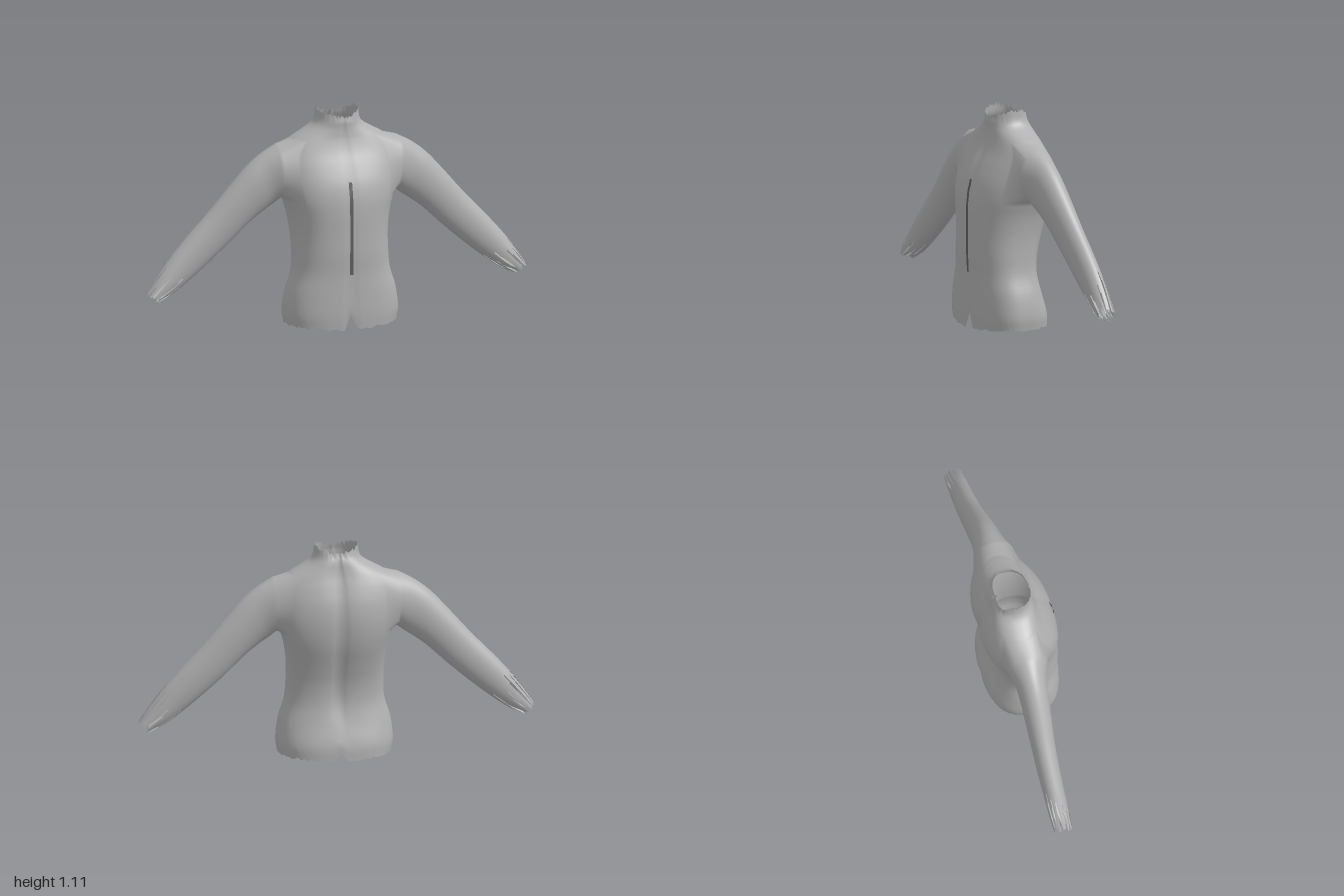
import * as THREE from 'three';

const N = 96, SUB = 4, J = 11;          // torso columns, rows per key section, half width of armhole
const I0 = 7 * SUB, I1 = 11 * SUB;      // armhole rows
const STEPS = 40;                       // rings along a sleeve

// torso sections: height, half width, front z, back z
const SECTIONS = [
  [0.035, 0.285, 0.190, -0.180], [0.10, 0.293, 0.195, -0.175], [0.20, 0.280, 0.195, -0.145],
  [0.30, 0.250, 0.195, -0.125], [0.40, 0.243, 0.200, -0.128], [0.50, 0.245, 0.200, -0.152],
  [0.60, 0.260, 0.200, -0.182], [0.68, 0.285, 0.195, -0.197], [0.76, 0.305, 0.178, -0.202],
  [0.84, 0.315, 0.145, -0.193], [0.91, 0.300, 0.110, -0.172], [0.965, 0.250, 0.090, -0.152],
  [1.00, 0.190, 0.083, -0.142], [1.03, 0.140, 0.080, -0.135], [1.06, 0.115, 0.080, -0.125],
  [1.10, 0.108, 0.075, -0.115],
];
// sleeve sections: top x, y, bottom x, y, front z, back z
const SLEEVE = [
  [0.315, 0.952, 0.305, 0.675, 0.080, -0.125], [0.40, 0.905, 0.345, 0.645, 0.055, -0.108],
  [0.48, 0.842, 0.39, 0.615, 0.045, -0.102], [0.57, 0.745, 0.46, 0.562, 0.035, -0.100],
  [0.68, 0.620, 0.57, 0.460, 0.022, -0.098], [0.79, 0.505, 0.68, 0.365, 0.016, -0.096],
  [0.88, 0.405, 0.78, 0.285, 0.014, -0.092], [0.95, 0.315, 0.87, 0.222, 0.014, -0.088],
  [1.00, 0.240, 0.945, 0.190, 0.012, -0.082],
];

const curve = (points) => new THREE.CatmullRomCurve3(points.map((p) => new THREE.Vector3(...p)), false, 'catmullrom', 0.5);
const smooth = THREE.MathUtils.smoothstep;

function seeded(seed) {
  return () => {
    seed = (seed * 16807) % 2147483647;
    return seed / 2147483647;
  };
}

export function createModel() {
  const group = new THREE.Group();
  group.name = 'jacket';
  const fabric = new THREE.MeshStandardMaterial({ color: 0xb0b0b0, side: THREE.DoubleSide });
  fabric.name = 'grey fabric';
  const dark = new THREE.MeshStandardMaterial({ color: 0x606060, side: THREE.DoubleSide });
  dark.name = 'dark fastening';

  const rand = seeded(77);
  const positions = [];
  const parts = { torso: [], collar: [], leftSleeve: [], rightSleeve: [] };
  const quad = (list, a, b, c, d, flip) => {
    if (flip) list.push(a, c, b, a, d, c);
    else list.push(a, b, c, a, c, d);
  };

  // torso grid, with ragged hem and neck edge
  const rows = (SECTIONS.length - 1) * SUB;
  const heights = curve(SECTIONS.map((s) => [s[0], 0, 0]));
  const shape = curve(SECTIONS.map((s) => s.slice(1)));
  const hem = [], neck = [];
  for (let j = 0; j < N; j++) {
    const s = Math.sin((j / N) * Math.PI * 2);
    hem.push((rand() - 0.5) * 0.014 - 0.015 * Math.abs(s) ** 6);
    neck.push((rand() - 0.5) * 0.02 + 0.012 - 0.03 * s * s);
  }
  hem[N / 4] = 0.06;
  hem[(3 * N) / 4] = 0.03;
  for (let i = 0; i <= rows; i++) {
    const y0 = heights.getPoint(i / rows).x;
    const { x: w, y: zf, z: zb } = shape.getPoint(i / rows);
    const zc = 0.03 - 0.06 * smooth(y0, 0.2, 0.7);
    const power = 2 / (2.6 - 0.4 * smooth(y0, 0.6, 0.9));
    for (let j = 0; j < N; j++) {
      const a = (j / N) * Math.PI * 2, c = Math.cos(a), s = Math.sin(a);
      const x = w * Math.sign(c) * Math.abs(c) ** power;
      let z = zc + ((s > 0 ? zf - zc : zc - zb) * Math.sign(s)) * Math.abs(s) ** power;
      // spine groove and front seam
      const centre = Math.abs(c) < 1e-6;
      if (s < 0) z += smooth(y0, 0.15, 0.35) * (0.012 * Math.exp(-((x / 0.06) ** 2)) + (centre ? 0.012 : 0));
      else if (centre) z -= 0.006;
      const y = y0 + hem[j] * Math.max(0, 1 - (y0 - 0.035) / 0.1) + neck[j] * smooth(y0, 1.04, 1.1);
      positions.push(x, y, z);
    }
  }
  const id = (i, j) => i * N + ((j % N) + N) % N;
  const inHole = (i, j) => i >= I0 && i < I1 && j >= -J && j < J;
  for (let i = 0; i < rows; i++) {
    for (let j = -N / 4; j < (3 * N) / 4; j++) {
      if (inHole(i, j) || inHole(i, j - N / 2)) continue;
      const list = i >= 13 * SUB ? parts.collar : parts.torso;
      quad(list, id(i, j), id(i + 1, j), id(i + 1, j + 1), id(i, j + 1));
    }
  }

  // armhole loop: bottom, front, top, back
  const loop = [];
  for (let j = -J; j < J; j++) loop.push([I0, j]);
  for (let i = I0; i < I1; i++) loop.push([i, J]);
  for (let j = J; j > -J; j--) loop.push([I1, j]);
  for (let i = I1; i > I0; i--) loop.push([i, -J]);
  const L = loop.length;

  // slits that fray the cuff into strips
  const slitStart = new Array(L).fill(STEPS);
  for (let k = 2; k < L - 2; k += 6) {
    const start = Math.round(STEPS * (0.73 + rand() * 0.14));
    slitStart[k] = start;
    slitStart[k + 1] = start + 2;
  }
  const fray = loop.map(() => (rand() - 0.6) * 0.03);

  // sleeves, welded to the armholes
  const top = curve(SLEEVE.map((s) => [s[0], s[1], s[4]]));
  const bottom = curve(SLEEVE.map((s) => [s[2], s[3], s[5]]));
  for (const side of [1, -1]) {
    const list = side > 0 ? parts.leftSleeve : parts.rightSleeve;
    let ring = loop.map(([i, j]) => id(i, side > 0 ? j : N / 2 - j));
    for (let r = 0; r <= STEPS; r++) {
      const T = top.getPoint(r / STEPS), B = bottom.getPoint(r / STEPS);
      const next = loop.map(([i, j], k) => {
        const a = Math.atan2((2 * (i - I0)) / (I1 - I0) - 1, j / J);
        const up = (1 + Math.sin(a)) / 2, front = (1 + Math.cos(a)) / 2;
        const cut = fray[k] * smooth(r, STEPS - 6, STEPS);
        positions.push(
          side * (B.x + (T.x - B.x) * up + cut * 0.6),
          B.y + (T.y - B.y) * up - cut * 0.8,
          B.z + (T.z - B.z) * front,
        );
        return positions.length / 3 - 1;
      });
      for (let k = 0; k < L; k++) {
        if (r > slitStart[k]) continue;
        const m = (k + 1) % L;
        quad(list, ring[k], next[k], next[m], ring[m], side < 0);
      }
      ring = next;
    }
  }

  // shared normals keep the seams between parts smooth
  const whole = new THREE.BufferGeometry();
  whole.setAttribute('position', new THREE.Float32BufferAttribute(positions, 3));
  whole.setIndex(Object.values(parts).flat());
  whole.computeVertexNormals();
  for (const [name, index] of Object.entries(parts)) {
    const geometry = new THREE.BufferGeometry();
    geometry.setAttribute('position', whole.getAttribute('position'));
    geometry.setAttribute('normal', whole.getAttribute('normal'));
    geometry.setIndex(index);
    const mesh = new THREE.Mesh(geometry, fabric);
    mesh.name = name;
    group.add(mesh);
  }

  // front fastening strip, following the chest
  const strip = new THREE.PlaneGeometry(0.018, 0.47, 1, 16);
  strip.translate(0, 0.535, 0);
  const p = strip.getAttribute('position');
  for (let v = 0; v < p.count; v++) {
    let i = 0;
    while (positions[id(i + 1, N / 4) * 3 + 1] < p.getY(v)) i++;
    p.setZ(v, positions[id(i, N / 4) * 3 + 2] + 0.007);
  }
  strip.computeVertexNormals();
  const fastening = new THREE.Mesh(strip, dark);
  fastening.name = 'frontFastening';
  group.add(fastening);

  return group;
}
